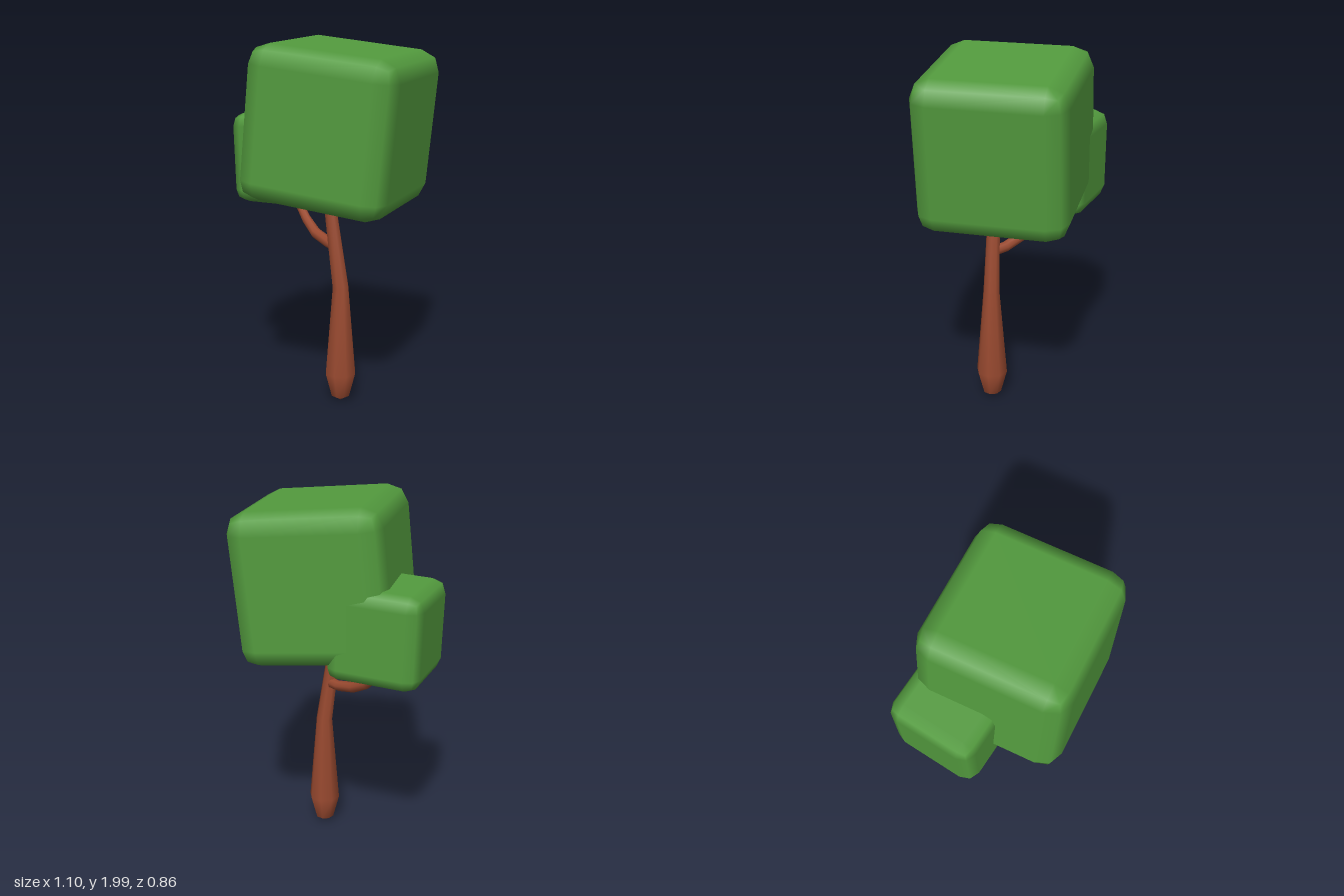
import * as THREE from 'three';
import { RoundedBoxGeometry } from 'three/addons/geometries/RoundedBoxGeometry.js';

// Tapered limb: each point is [x, y, z, radius], with rings square to the path
function limbGeometry(points, sides) {
  const centres = points.map(([x, y, z]) => new THREE.Vector3(x, y, z));
  const up = new THREE.Vector3(0, 1, 0);
  const positions = [];
  const index = [];
  const last = points.length - 1;
  points.forEach((p, i) => {
    const tangent = centres[Math.min(i + 1, last)].clone().sub(centres[Math.max(i - 1, 0)]).normalize();
    const turn = new THREE.Quaternion().setFromUnitVectors(up, tangent);
    for (let j = 0; j < sides; j++) {
      const a = (j / sides) * Math.PI * 2;
      const v = new THREE.Vector3(Math.sin(a) * p[3], 0, Math.cos(a) * p[3]);
      v.applyQuaternion(turn).add(centres[i]);
      positions.push(v.x, v.y, v.z);
      if (i < last) {
        const k = (j + 1) % sides;
        const b = i * sides;
        const t = b + sides;
        index.push(b + j, b + k, t + k, b + j, t + k, t + j);
      }
    }
  });
  const geometry = new THREE.BufferGeometry();
  geometry.setAttribute('position', new THREE.Float32BufferAttribute(positions, 3));
  geometry.setIndex(index);
  geometry.computeVertexNormals();
  return geometry;
}

export function createModel() {
  const tree = new THREE.Group();
  tree.name = 'tree';
  const leafGreen = new THREE.MeshStandardMaterial({ name: 'leafGreen', color: 0x539b3e });
  const barkBrown = new THREE.MeshStandardMaterial({ name: 'barkBrown', color: 0x9a4a30 });

  const add = (name, geometry, material) => {
    const mesh = new THREE.Mesh(geometry, material);
    mesh.name = name;
    tree.add(mesh);
    return mesh;
  };

  // Leaf blocks with softly bevelled edges
  const largeCrown = add('largeCrown', new RoundedBoxGeometry(0.833, 0.833, 0.815, 1, 0.11), leafGreen);
  largeCrown.position.set(0.104, 1.553, 0.018);
  largeCrown.rotation.z = -0.097;

  const smallCrown = add('smallCrown', new RoundedBoxGeometry(0.51, 0.51, 0.5, 1, 0.075), leafGreen);
  smallCrown.position.set(-0.272, 1.333, -0.158);
  smallCrown.rotation.set(0, -0.13, 0.036);

  // Trunk with a pointed foot, leaning into the large crown
  add('trunk', limbGeometry([
    [0.142, 0.005, 0.095, 0.001],
    [0.142, 0.035, 0.095, 0.052],
    [0.142, 0.17, 0.095, 0.088],
    [0.140, 0.67, 0.095, 0.046],
    [0.074, 1.14, 0.095, 0.034],
    [0.060, 1.25, 0.095, 0.001],
  ], 8), barkBrown);

  // Side branch sweeping out and back to the small crown
  add('branch', limbGeometry([
    [0.11, 0.895, 0.095, 0.030],
    [0.04, 0.90, 0.04, 0.030],
    [-0.06, 0.925, -0.02, 0.030],
    [-0.15, 0.98, -0.09, 0.027],
    [-0.215, 1.045, -0.14, 0.024],
    [-0.29, 1.085, -0.18, 0.021],
    [-0.34, 1.11, -0.21, 0.001],
  ], 8), barkBrown);

  // Short twig curling up from the branch
  add('twig', limbGeometry([
    [-0.215, 1.03, -0.13, 0.018],
    [-0.175, 1.045, -0.15, 0.018],
    [-0.145, 1.075, -0.17, 0.016],
    [-0.135, 1.12, -0.175, 0.012],
    [-0.135, 1.14, -0.175, 0.001],
  ], 6), barkBrown);

  return tree;
}
